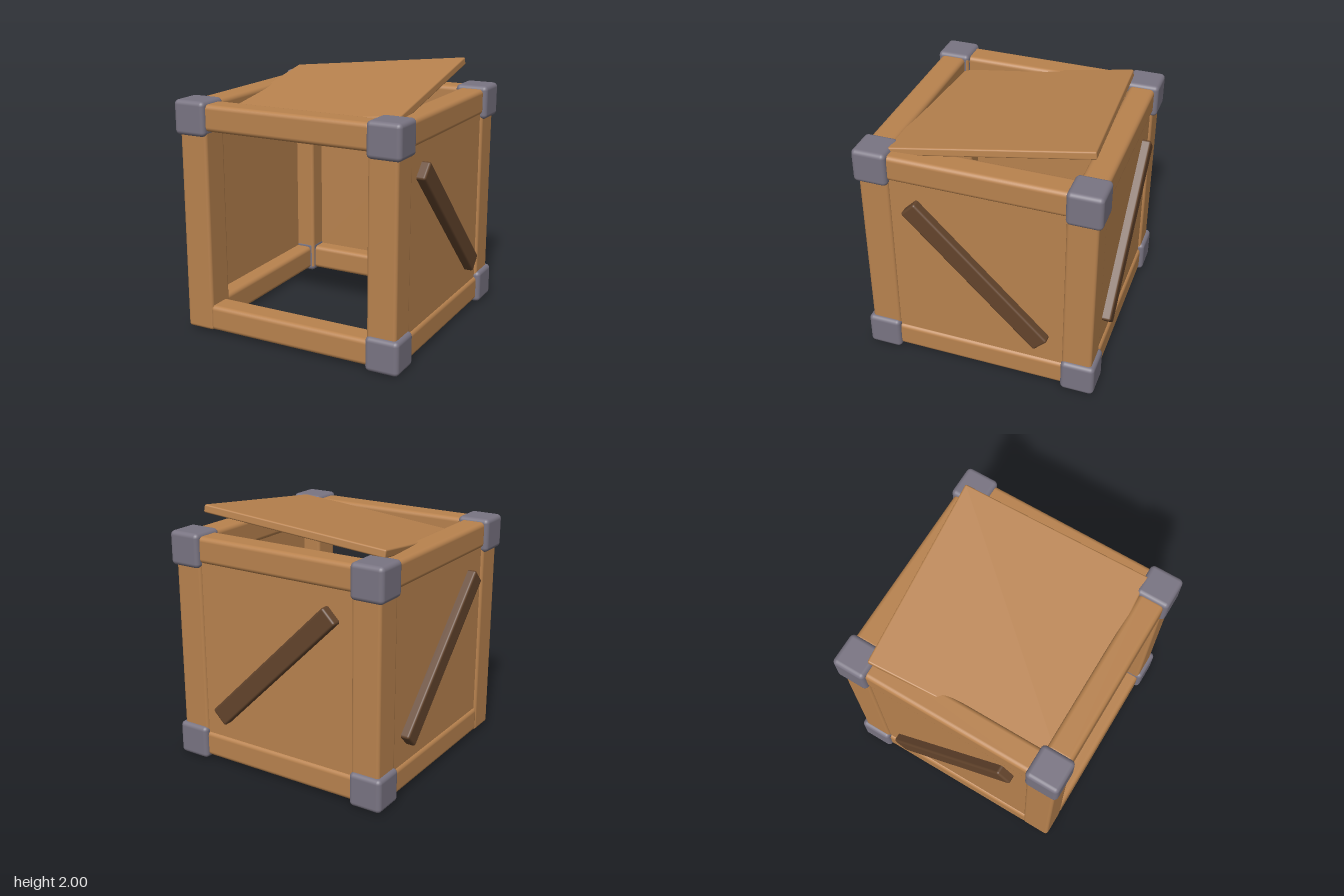
import * as THREE from 'three';
import { RoundedBoxGeometry } from 'three/addons/geometries/RoundedBoxGeometry.js';

const wood = new THREE.MeshStandardMaterial({ color: 0xb8824e });
wood.name = 'wood';
const darkWood = new THREE.MeshStandardMaterial({ color: 0x63442c });
darkWood.name = 'darkWood';
const metal = new THREE.MeshStandardMaterial({ color: 0x797482 });
metal.name = 'metal';

const MID = 0.9; // height of the crate's centre

function block(name, size, pos, radius, material) {
  const mesh = new THREE.Mesh(new RoundedBoxGeometry(...size, 3, radius), material);
  mesh.name = name;
  mesh.position.set(...pos);
  return mesh;
}

export function createModel() {
  const crate = new THREE.Group();
  crate.name = 'crate';
  const frame = new THREE.Group();
  frame.name = 'frame';
  const caps = new THREE.Group();
  caps.name = 'cornerCaps';
  crate.add(frame, caps);

  for (const a of [-1, 1]) {
    for (const b of [-1, 1]) {
      // upright corner posts
      frame.add(block('post', [0.23, 1.76, 0.23], [a * 0.77, MID, b * 0.77], 0.025, wood));
      // horizontal beams, a = bottom or top
      const y = MID + a * 0.777;
      frame.add(block('crossBeam', [1.36, 0.2, 0.2], [0, y, b * 0.785], 0.035, wood));
      frame.add(block('sideBeam', [0.2, 0.2, 1.36], [b * 0.785, y, 0], 0.035, wood));
      // metal caps, one is missing at the bottom front right
      for (const c of [-1, 1]) {
        if (a === -1 && b === 1 && c === -1) continue;
        caps.add(block('cornerCap', [0.262, 0.262, 0.262], [a * 0.784, MID + c * 0.769, b * 0.784], 0.035, metal));
      }
    }
  }

  // side panels with diagonal braces
  for (const s of [-1, 1]) {
    const side = s > 0 ? 'left' : 'right';
    crate.add(block(side + 'Panel', [0.055, 1.48, 1.48], [s * 0.838, MID, 0], 0.01, wood));
    const brace = block(side + 'Brace', [0.1, 1.42, 0.15], [s * 0.883, MID, 0], 0.018, darkWood);
    brace.rotation.x = Math.PI / 4;
    crate.add(brace);
  }

  // back panel with its brace; the front and bottom stay open
  crate.add(block('backPanel', [1.48, 1.48, 0.055], [0, MID, -0.838], 0.01, wood));
  const backBrace = block('backBrace', [0.15, 1.42, 0.1], [0, MID, -0.883], 0.018, darkWood);
  backBrace.rotation.z = Math.PI / 4;
  crate.add(backBrace);

  // loose lid, tilted up towards the back left corner
  const lid = block('lid', [1.485, 0.06, 1.485], [0, 0, 0], 0.012, wood);
  const across = new THREE.Vector3(1.47, 0.15, -0.105).normalize();
  const up = new THREE.Vector3(0.12, -0.2, 1.46).cross(across).normalize();
  const along = across.clone().cross(up);
  lid.quaternion.setFromRotationMatrix(new THREE.Matrix4().makeBasis(across, up, along));
  lid.position.set(0, 1.825, 0).addScaledVector(up, -0.03);
  crate.add(lid);

  crate.position.z = 0.005;
  const model = new THREE.Group();
  model.name = 'woodenCrate';
  model.add(crate);
  return model;
}
